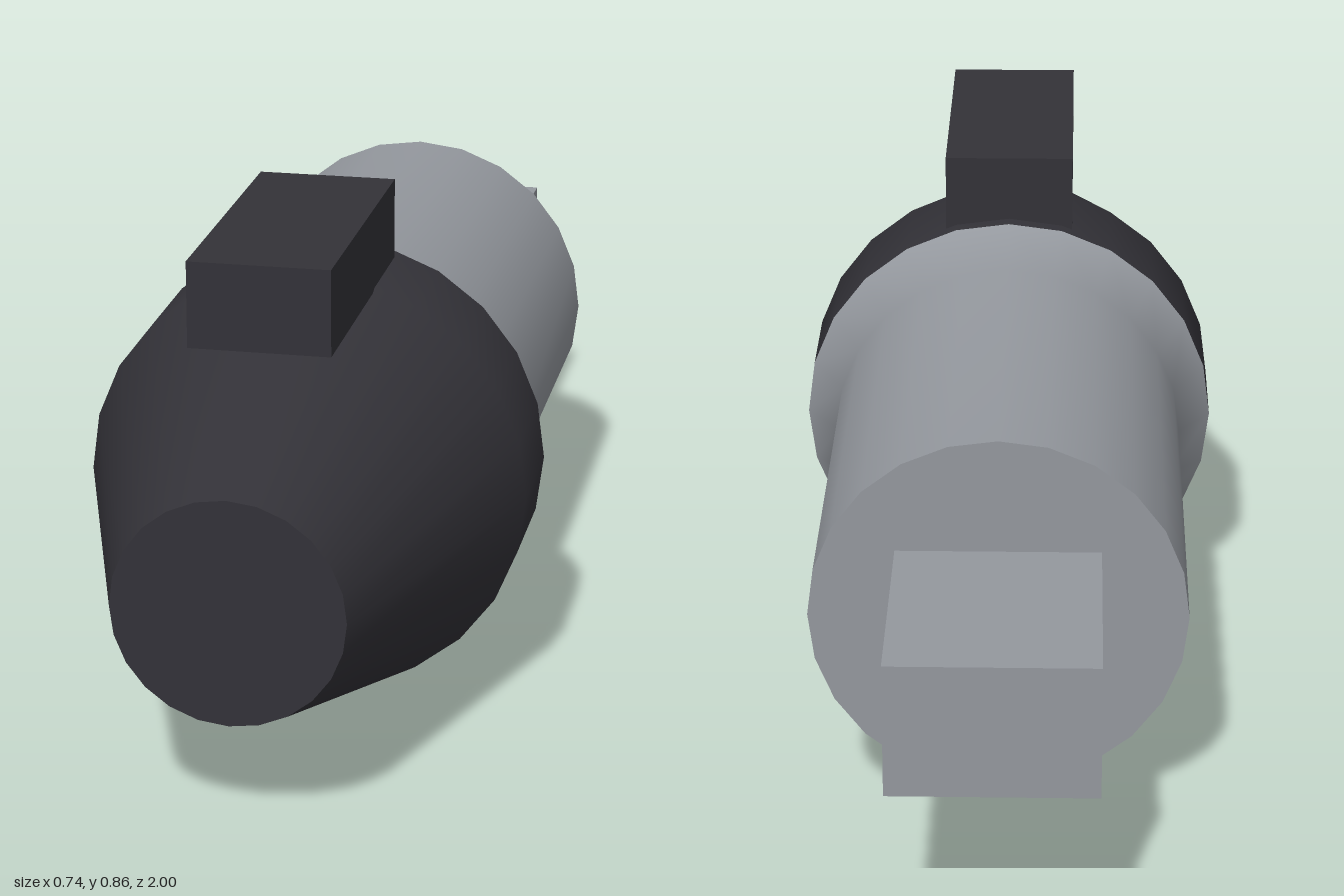
import * as THREE from 'three';

const AXIS_Y = 0.372;
const SIDES = 24;

export function createModel() {
  const model = new THREE.Group();
  model.name = 'cylindricalTool';

  const darkPlastic = new THREE.MeshStandardMaterial({ color: 0x333238 });
  darkPlastic.name = 'dark plastic';
  const greyMetal = new THREE.MeshStandardMaterial({ color: 0x94989e });
  greyMetal.name = 'grey metal';

  const add = (name, geometry, material, x, y, z) => {
    const mesh = new THREE.Mesh(geometry, material);
    mesh.name = name;
    mesh.position.set(x, y, z);
    model.add(mesh);
    return mesh;
  };

  // Turned shell along z; profile is [radius, z] from back to front
  const turned = (name, profile, material) => {
    const points = profile.map(([r, z]) => new THREE.Vector2(r, z));
    const geometry = new THREE.LatheGeometry(points, SIDES).rotateX(Math.PI / 2);
    return add(name, geometry, material, 0, AXIS_Y, 0);
  };

  // Tapered nose with a flat front
  turned('nose', [[0.37, 0.23], [0.37, 0.43], [0.186, 1]], darkPlastic);
  add('noseCap', new THREE.CircleGeometry(0.186, SIDES), darkPlastic, 0, AXIS_Y, 1);

  // Barrel flaring out to meet the nose, closed at the back
  turned('barrel', [[0.312, -0.6], [0.312, 0.15], [0.37, 0.23]], greyMetal);
  add('barrelCap', new THREE.CircleGeometry(0.312, SIDES), greyMetal, 0, AXIS_Y, -0.6)
    .rotation.y = Math.PI;

  // Rectangular shank and top block
  add('shank', new THREE.BoxGeometry(0.336, 0.225, 0.4), greyMetal, 0, 0.376, -0.8);
  add('topBlock', new THREE.BoxGeometry(0.229, 0.141, 0.514), darkPlastic, 0, 0.787, 0.515);

  return model;
}
